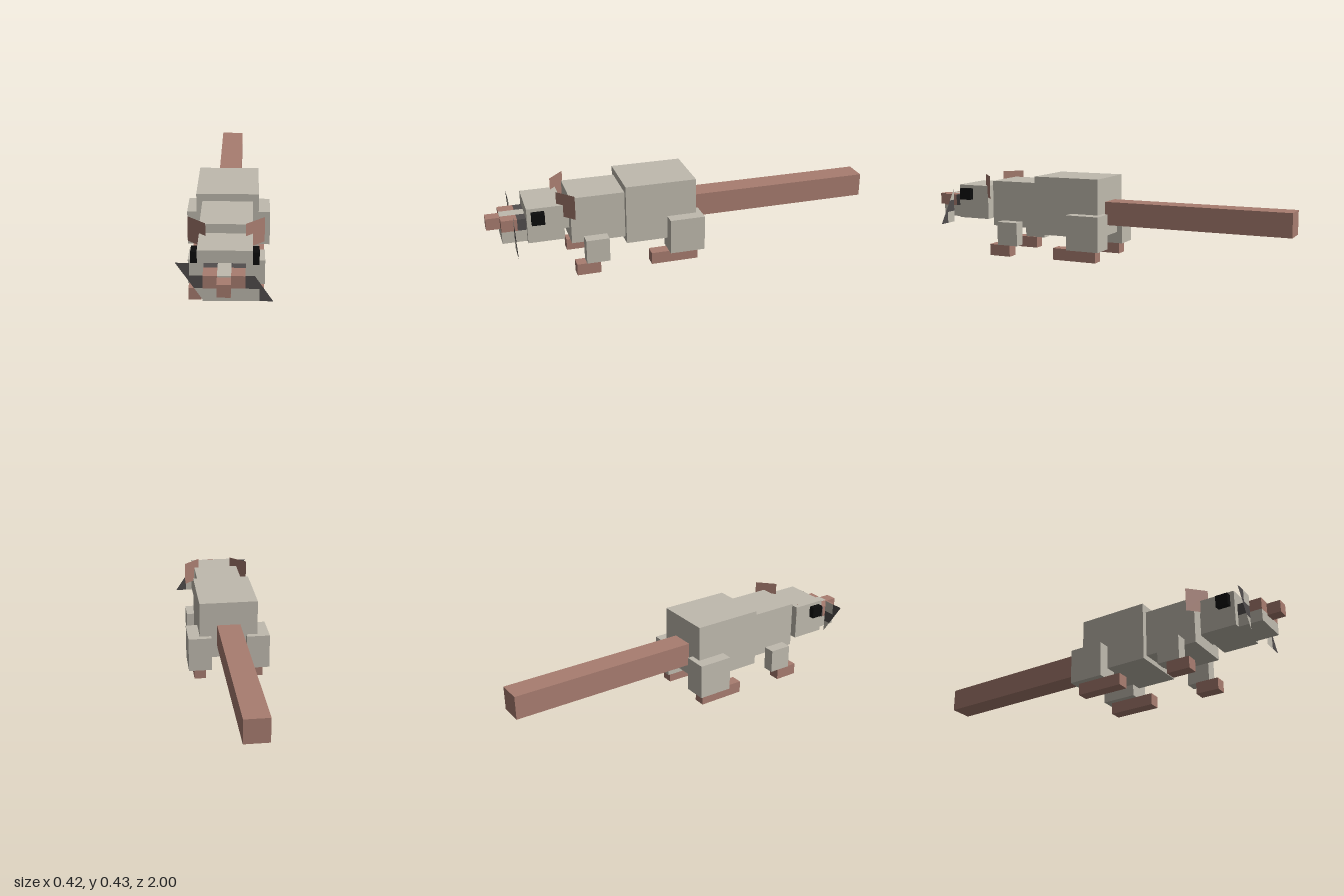
import * as THREE from 'three';

const mat = (name, color, side = THREE.FrontSide) => {
  const m = new THREE.MeshStandardMaterial({ color, side });
  m.name = name;
  return m;
};

export function createModel() {
  const fur = mat('greyFur', 0xbfbaae, THREE.DoubleSide);
  const skin = mat('pinkSkin', 0xa87d70, THREE.DoubleSide);
  const dark = mat('darkWhisker', 0x514d4d, THREE.DoubleSide);
  const black = mat('blackEye', 0x0c0c0c);

  const model = new THREE.Group();
  model.name = 'rodent';

  const add = (name, geometry, material) => {
    const mesh = new THREE.Mesh(geometry, material);
    mesh.name = name;
    model.add(mesh);
    return mesh;
  };

  // Box given by its limits on each axis
  const box = (name, material, [x0, x1], [y0, y1], [z0, z1]) => {
    const mesh = add(name, new THREE.BoxGeometry(Math.abs(x1 - x0), y1 - y0, z1 - z0), material);
    mesh.position.set((x0 + x1) / 2, (y0 + y1) / 2, (z0 + z1) / 2);
    return mesh;
  };

  // Trunk, neck and tail
  box('tail', skin, [-0.06, 0.06], [0.187, 0.307], [-1, -0.034]);
  box('rearBody', fur, [-0.15, 0.15], [0.128, 0.43], [-0.034, 0.327]);
  box('frontBody', fur, [-0.121, 0.121], [0.153, 0.393], [0.327, 0.598]);
  box('neck', fur, [-0.06, 0.06], [0.212, 0.333], [0.598, 0.631]);

  // Head, with the snout split by colour
  box('head', fur, [-0.121, 0.121], [0.184, 0.363], [0.631, 0.811]);
  box('jaw', fur, [-0.091, 0.091], [0.184, 0.244], [0.811, 0.932]);
  box('snoutRidge', fur, [-0.03, 0.03], [0.244, 0.303], [0.811, 0.932]);
  box('nose', skin, [-0.03, 0.03], [0.237, 0.297], [0.932, 1]);

  // Flat triangle or quad standing in a plane of constant z
  const patch = (name, material, points, z) => {
    const shape = new THREE.Shape(points.map(([x, y]) => new THREE.Vector2(x, y)));
    add(name, new THREE.ShapeGeometry(shape), material).position.z = z;
  };

  for (const s of [1, -1]) {
    const side = s > 0 ? 'left' : 'right';
    const pair = (name, material, [x0, x1], y, z) =>
      box(side + name, material, [s * x0, s * x1], y, z);

    pair('Cheek', skin, [0.03, 0.091], [0.244, 0.303], [0.854, 0.932]);
    pair('DarkCheek', dark, [0.03, 0.091], [0.244, 0.303], [0.811, 0.854]);
    pair('Eye', black, [0.121, 0.151], [0.286, 0.346], [0.727, 0.79]);

    // Legs and feet
    pair('HindLeg', fur, [0.091, 0.211], [0.068, 0.248], [-0.063, 0.116]);
    pair('HindFoot', skin, [0.12, 0.181], [0.007, 0.068], [-0.034, 0.207]);
    pair('FrontLeg', fur, [0.121, 0.181], [0.06, 0.183], [0.421, 0.538]);
    pair('FrontFoot', skin, [0.116, 0.177], [0, 0.06], [0.468, 0.588]);

    // Ear: flat panel swept back and outward
    const ear = add(side + 'Ear', new THREE.PlaneGeometry(0.115, 0.121), skin);
    ear.position.set(s * 0.133, 0.363, 0.622);
    ear.rotation.y = s * Math.atan2(0.078, 0.085);
  }

  // Whisker panels: half panels cut along a diagonal, in coloured patches
  const z = 0.872;
  const a = 0.091, m = 0.151, o = 0.211;
  const bottom = 0.152, low = 0.212, high = 0.273, top = 0.333;
  const cut = (x) => top - (top - bottom) * (x - a) / (o - a);      // left diagonal
  const cutX = (y) => a + (o - a) * (top - y) / (top - bottom);
  patch('leftWhiskerTip', dark, [[m, bottom], [o, bottom], [m, cut(m)]], z);
  patch('leftWhiskerBand', dark,
    [[a, low], [m, low], [m, cut(m)], [cutX(high), high], [a, high]], z);
  patch('leftWhiskerLower', fur, [[a, bottom], [m, bottom], [m, low], [a, low]], z);
  patch('leftWhiskerUpper', fur, [[a, high], [cutX(high), high], [a, top]], z);

  const rise = (x) => bottom + (top - bottom) * (x - a) / (o - a);  // right diagonal
  const riseX = (y) => a + (o - a) * (y - bottom) / (top - bottom);
  patch('rightWhiskerTip', dark, [[-o, top], [-m, rise(m)], [-m, top]], z);
  patch('rightWhiskerBand', dark,
    [[-a, low], [-a, high], [-m, high], [-m, rise(m)], [-riseX(low), low]], z);
  patch('rightWhiskerUpper', fur, [[-a, high], [-a, top], [-m, top], [-m, high]], z);
  patch('rightWhiskerLower', fur, [[-a, bottom], [-a, low], [-riseX(low), low]], z);

  return model;
}
